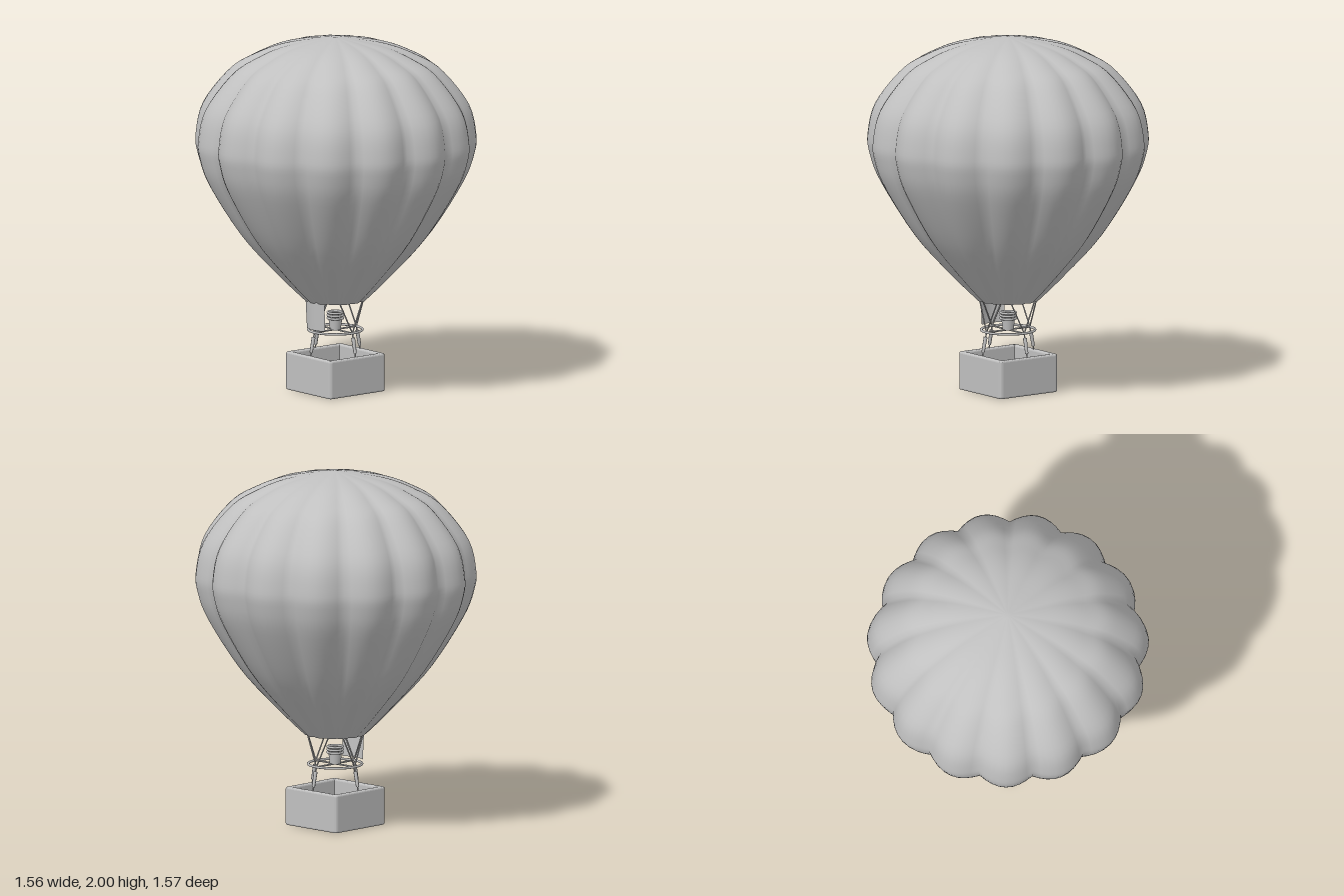
import * as THREE from 'three';

const GORES = 15;
const STEPS = 8; // segments across one gore

export function createModel() {
  const model = new THREE.Group();
  model.name = 'hotAirBalloon';
  const grey = new THREE.MeshStandardMaterial({ color: 0xc0c0c0, side: THREE.DoubleSide });
  grey.name = 'plain grey';

  const add = (name, geometry, parent = model) => {
    const mesh = new THREE.Mesh(geometry, grey);
    mesh.name = name;
    parent.add(mesh);
    return mesh;
  };
  const group = (name) => {
    const g = new THREE.Group();
    g.name = name;
    model.add(g);
    return g;
  };
  const polar = (r, deg, y) => {
    const a = THREE.MathUtils.degToRad(deg);
    return new THREE.Vector3(r * Math.cos(a), y, r * Math.sin(a));
  };
  // Straight rod between two points
  const rod = (name, a, b, r0, r1, parent, sides = 8) => {
    const dir = b.clone().sub(a);
    const mesh = add(name, new THREE.CylinderGeometry(r1, r0, dir.length(), sides), parent);
    mesh.position.copy(a).add(b).multiplyScalar(0.5);
    mesh.quaternion.setFromUnitVectors(new THREE.Vector3(0, 1, 0), dir.normalize());
    return mesh;
  };
  const hoop = (name, r, tube, y, parent) => {
    const mesh = add(name, new THREE.TorusGeometry(r, tube, 8, 40), parent);
    mesh.rotation.x = Math.PI / 2;
    mesh.position.y = y;
    return mesh;
  };

  // Envelope: smooth profile swept round with bulging gores
  add('envelope', envelopeGeometry());

  // Curved scoop panel hanging from the mouth on the right side
  add('scoopPanel', new THREE.CylinderGeometry(0.168, 0.16, 0.17, 12, 1, true,
    -Math.PI / 2 - 0.52, 1.04)).position.y = 0.445;

  // Load ring, with ropes up to the mouth and sleeved cords down to the basket
  hoop('loadRing', 0.15, 0.007, 0.345, model);
  const rigging = group('rigging');
  for (let i = 0; i < 4; i++) {
    const deg = i * 90;
    const ringPoint = polar(0.15, deg, 0.345);
    for (const side of [-1, 1]) {
      rod('rope', ringPoint, polar(0.162, deg + side * 32, 0.53), 0.004, 0.004, rigging, 6);
    }
    rod('cord', ringPoint, polar(0.18, deg, 0.2), 0.004, 0.004, rigging, 6);
    rod('sleeve', polar(0.156, deg, 0.32), polar(0.174, deg, 0.235), 0.011, 0.009, rigging);
  }

  // Burner on cross bars inside the ring
  const burner = group('burner');
  rod('burnerBar', polar(0.15, 0, 0.345), polar(0.15, 180, 0.345), 0.005, 0.005, burner);
  rod('burnerBar', polar(0.15, 90, 0.345), polar(0.15, 270, 0.345), 0.005, 0.005, burner);
  add('burnerCan', new THREE.CylinderGeometry(0.038, 0.03, 0.06, 20), burner).position.y = 0.375;
  for (let i = 0; i < 3; i++) hoop('burnerCoil', 0.042, 0.007, 0.41 + i * 0.016, burner);
  add('burnerNozzle', new THREE.CylinderGeometry(0.02, 0.02, 0.04, 16), burner).position.y = 0.42;

  // Basket: open box with softened edges
  const basket = group('basket');
  const shape = roundedSquare(new THREE.Shape(), 0.19, 0.012);
  shape.holes.push(roundedSquare(new THREE.Path(), 0.175, 0.012));
  const walls = new THREE.ExtrudeGeometry(shape, {
    depth: 0.195, bevelSize: 0.01, bevelThickness: 0.01, bevelSegments: 3, curveSegments: 4,
  });
  walls.rotateX(-Math.PI / 2);
  add('basketWalls', walls, basket).position.y = 0.01;
  add('basketFloor', new THREE.BoxGeometry(0.36, 0.03, 0.36), basket).position.y = 0.015;

  return model;
}

function roundedSquare(path, h, r) {
  path.moveTo(-h + r, -h);
  path.lineTo(h - r, -h).quadraticCurveTo(h, -h, h, -h + r);
  path.lineTo(h, h - r).quadraticCurveTo(h, h, h - r, h);
  path.lineTo(-h + r, h).quadraticCurveTo(-h, h, -h, h - r);
  path.lineTo(-h, -h + r).quadraticCurveTo(-h, -h, -h + r, -h);
  return path;
}

function envelopeGeometry() {
  const profile = new THREE.SplineCurve([
    [0.172, 0.515], [0.31, 0.65], [0.53, 0.89], [0.715, 1.18], [0.776, 1.34], [0.784, 1.45],
    [0.74, 1.62], [0.59, 1.81], [0.45, 1.895], [0.31, 1.95], [0.15, 1.983], [0, 2],
  ].map(([r, y]) => new THREE.Vector2(r, y)));
  const rows = 48;
  const cols = GORES * STEPS;
  const positions = [];
  const index = [];
  for (let j = 0; j < rows; j++) {
    const p = profile.getPoint(j / rows);
    for (let i = 0; i < cols; i++) {
      const a = (i / cols) * Math.PI * 2;
      const bulge = Math.abs(Math.sin((a * GORES) / 2));
      const r = p.x * (0.93 + 0.07 * bulge);
      positions.push(r * Math.cos(a), p.y, r * Math.sin(a));
    }
  }
  positions.push(0, 2, 0);
  const apex = rows * cols;
  for (let j = 0; j < rows; j++) {
    for (let i = 0; i < cols; i++) {
      const n = (i + 1) % cols;
      const a = j * cols + i;
      const b = j * cols + n;
      if (j === rows - 1) index.push(a, apex, b);
      else index.push(a, a + cols, b, b, a + cols, b + cols);
    }
  }
  const geometry = new THREE.BufferGeometry();
  geometry.setAttribute('position', new THREE.Float32BufferAttribute(positions, 3));
  geometry.setIndex(index);
  geometry.computeVertexNormals();
  return geometry;
}
